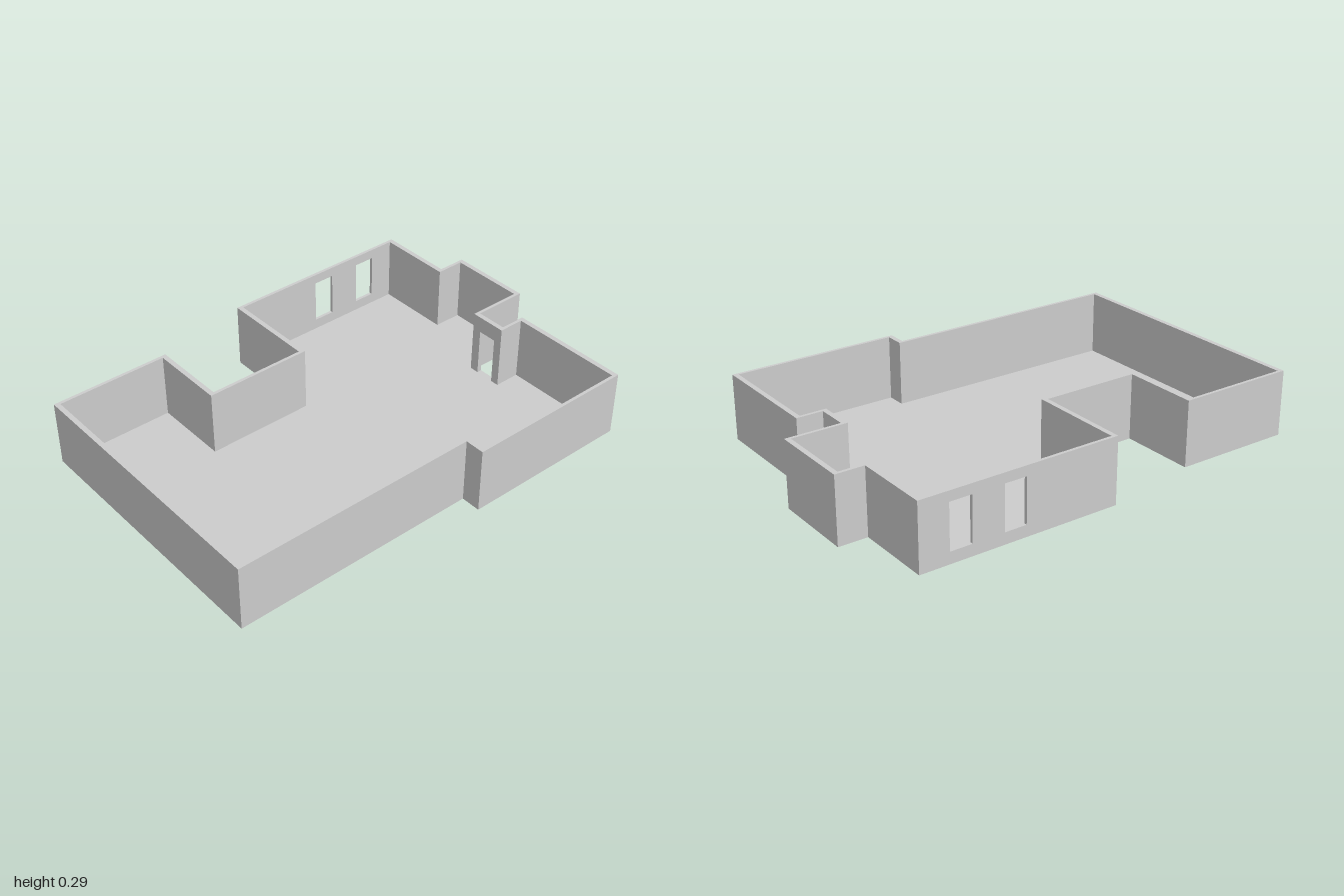
import * as THREE from 'three';

const HEIGHT = 0.293, FLOOR = 0.004;
const TX = 0.022, TZ = 0.014; // thickness of walls facing x and facing z

// Outer outline [x, z], clockwise seen from above
const OUTLINE = [
  [-1, -0.613], [-0.465, -0.613], [-0.465, -0.27], [-0.026, -0.27],
  [-0.026, -0.7], [0.872, -0.7], [0.872, -0.358], [1, -0.358],
  [1, 0.014], [0.755, 0.014], [0.755, 0.153], [0.872, 0.153],
  [0.872, 0.7], [0.097, 0.7], [0.097, 0.613], [-1, 0.613],
];

// Openings by edge index: [start, end, bottom, top] along the wall's axis
const WINDOWS = { 4: [[0.402, 0.5, 0.051, 0.249], [0.643, 0.741, 0.051, 0.249]] };
const DOORS = { 9: [0.042, 0.128, 0.22] };

const material = new THREE.MeshStandardMaterial({ color: 0xcccccc, flatShading: true });
const toShape = (points) => new THREE.Shape(points.map(([x, y]) => new THREE.Vector2(x, y)));

// Upright panel with window holes and an optional doorway cut from the bottom
function panel(a, b, depth, windows = [], door) {
  const contour = [[a, FLOOR]];
  if (door) {
    const [d0, d1, top] = door;
    contour.push([d0, FLOOR], [d0, top], [d1, top], [d1, FLOOR]);
  }
  contour.push([b, FLOOR], [b, HEIGHT], [a, HEIGHT]);
  const shape = toShape(contour);
  for (const [w0, w1, y0, y1] of windows) {
    shape.holes.push(toShape([[w0, y0], [w0, y1], [w1, y1], [w1, y0]]));
  }
  return new THREE.ExtrudeGeometry(shape, { depth, bevelEnabled: false });
}

export function createModel() {
  const group = new THREE.Group();
  const add = (geometry, name) => {
    const mesh = new THREE.Mesh(geometry, material);
    mesh.name = name;
    group.add(mesh);
  };
  const count = OUTLINE.length;
  const at = (i) => OUTLINE[(i + count) % count];

  // Floor slab
  const floor = new THREE.ExtrudeGeometry(toShape(OUTLINE.map(([x, z]) => [x, -z])),
    { depth: FLOOR, bevelEnabled: false });
  add(floor.rotateX(-Math.PI / 2), 'floor');

  // Inner outline: each corner moves inward off both of its walls
  const inner = OUTLINE.map(([x, z], i) => {
    let ox = 0, oz = 0;
    for (const [p, q] of [[at(i - 1), at(i)], [at(i), at(i + 1)]]) {
      ox -= Math.sign(q[1] - p[1]) * TX;
      oz += Math.sign(q[0] - p[0]) * TZ;
    }
    return [x + ox, z + oz];
  });

  // Walls: those along x own the corners, those along z fit between them
  for (let i = 0; i < count; i++) {
    const p = at(i), q = at(i + 1), ip = inner[i], iq = inner[(i + 1) % count];
    if (p[1] === q[1]) {
      const xs = [p[0], q[0], ip[0], iq[0]];
      const wall = panel(Math.min(...xs), Math.max(...xs), TZ, WINDOWS[i], DOORS[i]);
      add(wall.translate(0, 0, Math.min(p[1], ip[1])), WINDOWS[i] ? 'windowWall' : 'wallAlongX');
    } else {
      const [s, e, is, ie] = p[1] < q[1] ? [p, q, ip, iq] : [q, p, iq, ip];
      const wall = panel(Math.max(s[1], is[1]), Math.min(e[1], ie[1]), TX, WINDOWS[i], DOORS[i]);
      wall.rotateY(-Math.PI / 2).translate(Math.max(p[0], ip[0]), 0, 0);
      add(wall, DOORS[i] ? 'doorWall' : 'wallAlongZ');
    }
  }
  return group;
}
